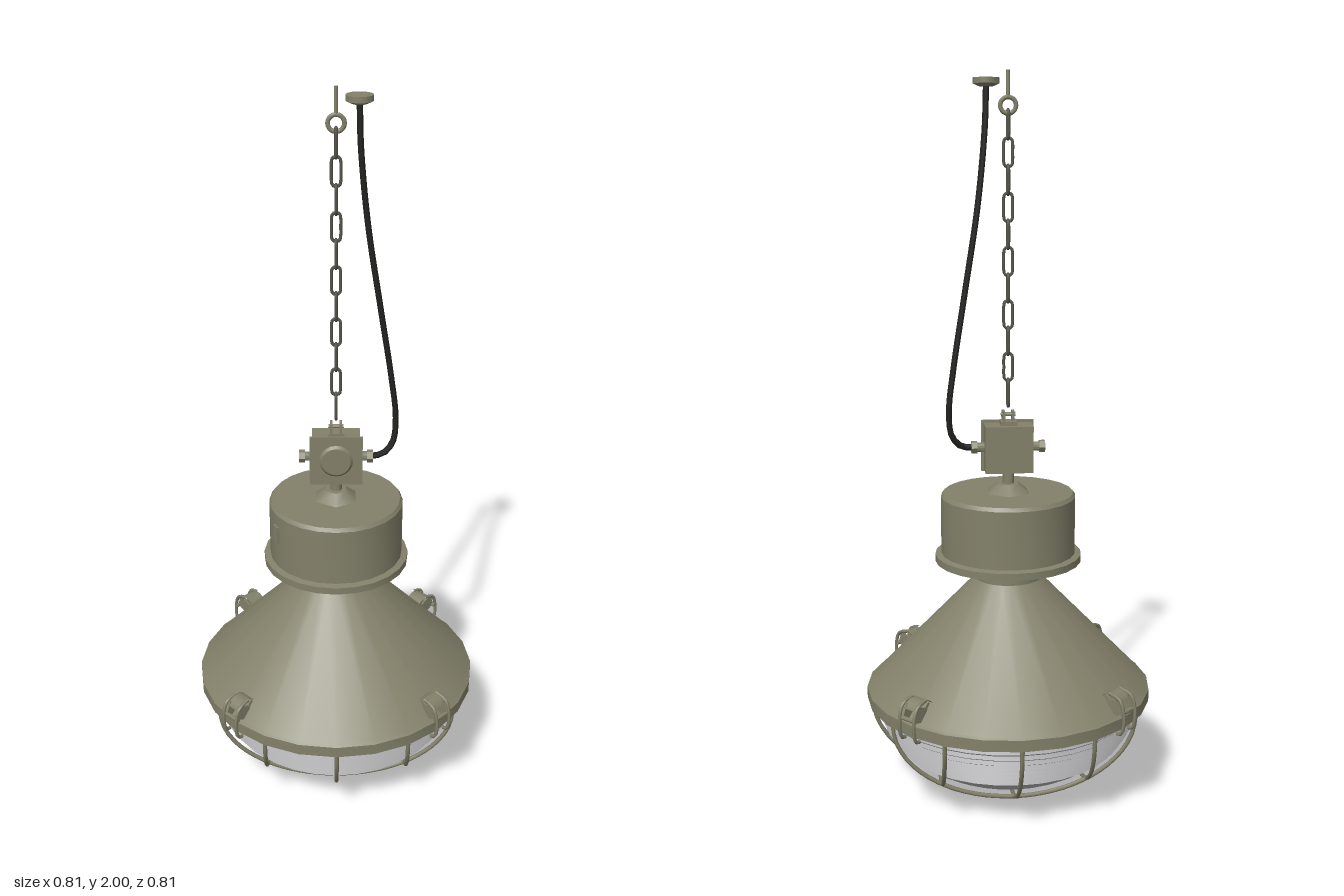
import * as THREE from 'three';
import { toCreasedNormals } from 'three/addons/utils/BufferGeometryUtils.js';

const mat = (name, color, side = THREE.FrontSide) => {
  const m = new THREE.MeshStandardMaterial({ color, side });
  m.name = name;
  return m;
};

export function createModel() {
  const olive = mat('olive paint', 0x83816a);
  const glassGrey = mat('grey glass', 0xb4b4b6, THREE.DoubleSide);
  const black = mat('black rubber', 0x222220);
  const steel = mat('dark steel', 0x56564c);
  const root = new THREE.Group();
  root.name = 'pendantLamp';

  const add = (name, geo, material, pos = [0, 0, 0], rot = [0, 0, 0], parent = root) => {
    const m = new THREE.Mesh(geo, material);
    m.name = name;
    m.position.set(...pos);
    m.rotation.set(...rot);
    parent.add(m);
    return m;
  };
  const lathe = (pts, seg = 24) => toCreasedNormals(
    new THREE.LatheGeometry(pts.map(p => new THREE.Vector2(...p)), seg), 0.5);
  const cyl = (r1, r2, h, seg = 16) => toCreasedNormals(new THREE.CylinderGeometry(r1, r2, h, seg), 0.6);
  const box = (x, y, z) => new THREE.BoxGeometry(x, y, z);
  const tube = (pts, r, seg = 24, closed = false) => new THREE.TubeGeometry(
    new THREE.CatmullRomCurve3(pts.map(p => new THREE.Vector3(...p)), closed), seg, r, 6, closed);

  // Conical shade with rim and neck
  add('shade', lathe([[0.355, 0.285], [0.36, 0.27], [0.403, 0.27], [0.403, 0.302], [0.393, 0.31],
    [0.095, 0.62], [0.095, 0.672]]), olive);

  // Gear housing with flange and stepped underside
  add('housing', lathe([[0.09, 0.685], [0.12, 0.685], [0.12, 0.677], [0.145, 0.677], [0.145, 0.685],
    [0.17, 0.685], [0.17, 0.67], [0.205, 0.67], [0.205, 0.69], [0.188, 0.694], [0.188, 0.855],
    [0.181, 0.865], [0, 0.865]]), olive);
  add('housingPlate', box(0.025, 0.05, 0.008), olive, [-0.165, 0.797, 0.091], [0, -1.07, 0]);

  // Ribbed glass dome
  const glass = [];
  for (let i = 0; i <= 8; i++) {
    const r = 0.3 * i / 8;
    glass.push([r, 0.27 - 0.245 * Math.sqrt(1 - (r / 0.37) ** 2)]);
  }
  const y0 = glass[8][1], ribs = 9;
  for (let i = 0; i < ribs; i++) {
    const y = y0 + (0.272 - y0) * (i + 1) / ribs, dy = (0.272 - y0) / ribs;
    const r = 0.37 * Math.sqrt(Math.max(0, 1 - ((0.272 - y) / 0.245) ** 2));
    glass.push([r, y - dy * 0.65], [r - 0.004, y]);
  }
  add('glass', lathe(glass, 32), glassGrey);

  // Wire cage: three wires each way over the dome
  const cage = new THREE.Group();
  cage.name = 'wireCage';
  root.add(cage);
  for (const turn of [0, Math.PI / 2]) for (const c of [-0.2, 0, 0.2]) {
    const w = Math.sqrt(0.39 ** 2 - c * c), d = 0.264 * w / 0.39, pts = [];
    for (let i = 0; i <= 16; i++) {
      const t = Math.PI * i / 16;
      pts.push([w * Math.cos(t), 0.27 - d * Math.sin(t), c]);
    }
    add('cageWire', tube(pts, 0.006, 32), olive, [0, 0, 0], [0, turn, 0], cage);
  }

  // Four toggle latches on the rim, built facing +z
  for (let i = 0; i < 4; i++) {
    const latch = new THREE.Group();
    latch.name = 'latch';
    latch.rotation.y = Math.PI / 4 + i * Math.PI / 2;
    root.add(latch);
    add('latchBase', box(0.036, 0.06, 0.008), olive, [0, 0.335, 0.374], [-0.76, 0, 0], latch);
    const lever = new THREE.CylinderGeometry(0.036, 0.036, 0.05, 8, 1, true, -0.5, 2.1);
    lever.rotateZ(Math.PI / 2);
    add('latchLever', lever, mat2(), [0, 0.335, 0.375], [-0.9, 0, 0], latch);
    for (const s of [-1, 1]) {
      add('latchWire', tube([[s * 0.024, 0.372, 0.372], [s * 0.026, 0.36, 0.408], [s * 0.026, 0.31, 0.422],
        [s * 0.026, 0.268, 0.414], [s * 0.026, 0.264, 0.4]], 0.005, 12), olive, [0, 0, 0], [0, 0, 0], latch);
      add('latchCheek', box(0.005, 0.04, 0.045), olive, [s * 0.018, 0.335, 0.39], [-0.4, 0, 0], latch);
    }
    add('latchPin', cyl(0.006, 0.006, 0.058, 8), olive, [0, 0.325, 0.415], [0, 0, Math.PI / 2], latch);
  }

  // Mount between the housing and the junction box
  add('mountCone', new THREE.CylinderGeometry(0.032, 0.066, 0.027, 6).toNonIndexed(), olive, [0, 0.877, 0]);
  add('mountStem', cyl(0.016, 0.016, 0.05, 12), olive, [0, 0.905, 0]);

  // Junction box with lid, side glands and top bracket
  add('junctionBox', box(0.132, 0.13, 0.07), olive, [0, 0.992, -0.01]);
  add('junctionLid', box(0.146, 0.144, 0.008), olive, [0, 0.992, 0.027]);
  add('lidBoss', cyl(0.04, 0.048, 0.008, 20), olive, [0, 0.992, 0.034], [Math.PI / 2, 0, 0]);
  for (const s of [-1, 1]) {
    add('glandCollar', cyl(0.013, 0.013, 0.03, 12), olive, [s * 0.077, 0.993, 0], [0, 0, Math.PI / 2]);
    add('glandNut', cyl(0.018, 0.018, 0.016, 6), olive, [s * 0.094, 0.993, 0], [0, 0, Math.PI / 2]);
  }
  add('bracketBase', box(0.045, 0.012, 0.045), olive, [0, 1.062, -0.005]);
  for (const s of [-1, 1]) add('bracketEar', box(0.007, 0.03, 0.032), olive, [s * 0.013, 1.08, 0]);
  add('bracketPin', cyl(0.006, 0.006, 0.04, 8), olive, [0, 1.085, 0], [0, 0, Math.PI / 2]);

  // Chain of alternating long links
  const link = [];
  for (let i = 0; i < 12; i++) {
    const a = i * Math.PI / 6, s = Math.sin(a);
    link.push([0.012 * Math.cos(a), 0.012 * s + (Math.abs(s) < 0.01 ? 0 : Math.sign(s) * 0.026), 0]);
  }
  const linkGeo = tube(link, 0.0045, 28, true);
  for (let i = 0; i < 11; i++)
    add('chainLink', linkGeo, steel, [0, 1.145 + i * 0.0716, 0], [0, i % 2 ? 0 : Math.PI / 2, 0]);

  // Ceiling eye hook
  add('hookEye', new THREE.TorusGeometry(0.021, 0.006, 8, 20), olive, [0, 1.91, 0]);
  add('hookStem', cyl(0.005, 0.005, 0.068, 8), olive, [0, 1.966, 0]);

  // Ceiling cup and hanging cable
  add('ceilingCup', lathe([[0, 1.958], [0.02, 1.958], [0.035, 1.965], [0.035, 1.98], [0, 1.98]], 20), olive, [0.058, 0, 0]);
  add('cable', tube([[0.058, 1.965, 0], [0.062, 1.85, 0], [0.082, 1.65, -0.005], [0.118, 1.42, -0.01],
    [0.15, 1.22, -0.017], [0.164, 1.1, -0.02], [0.157, 1.03, -0.014], [0.13, 0.998, -0.006],
    [0.095, 0.993, 0]], 0.009, 48), black);
  return root;

  // Lever sheet shares one two-sided olive
  function mat2() {
    root.userData.sheet ??= mat('olive sheet', 0x83816a, THREE.DoubleSide);
    return root.userData.sheet;
  }
}
